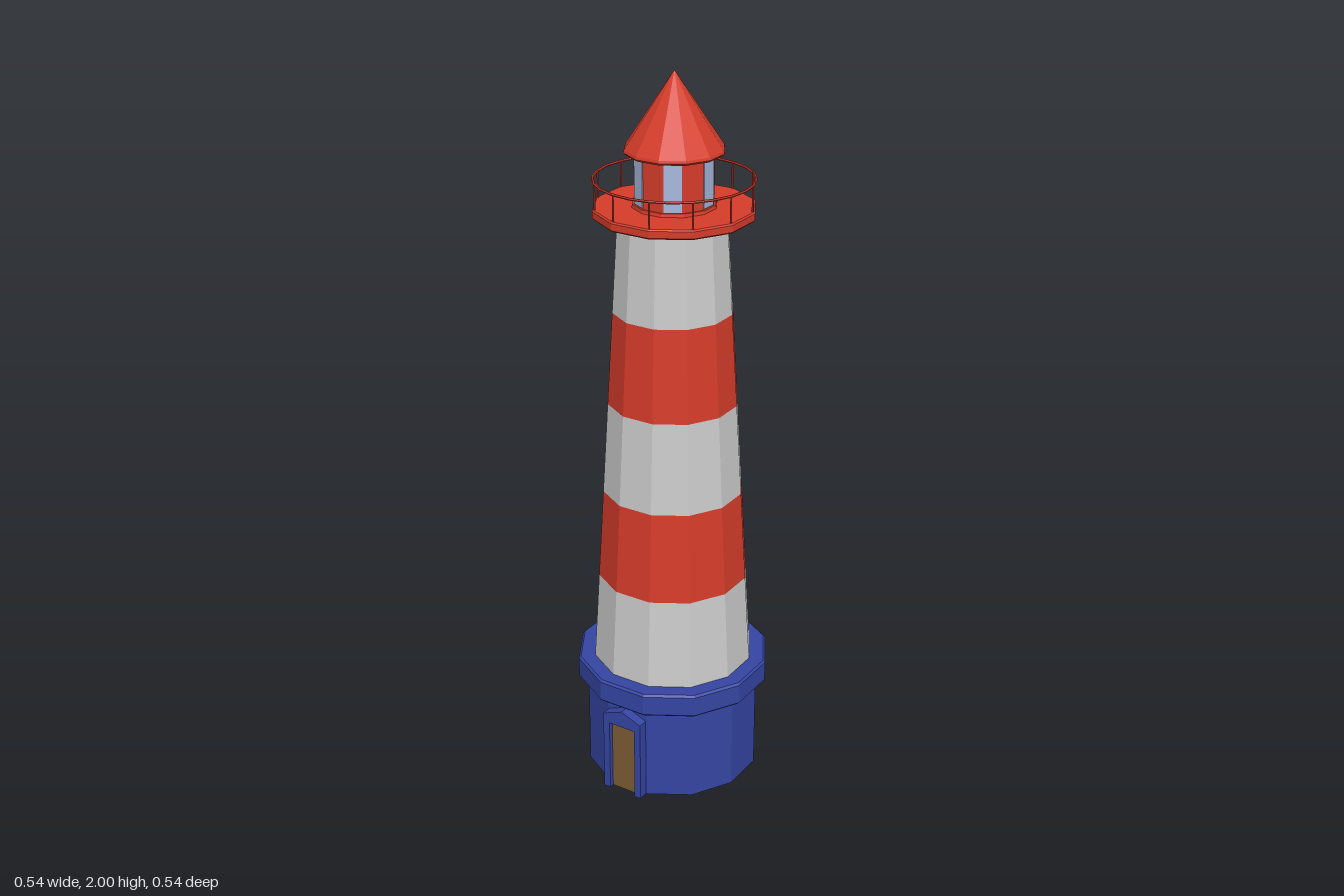
import * as THREE from 'three';

const SIDES = 12;
const material = (color) => new THREE.MeshStandardMaterial({ color, flatShading: true });

export function createModel() {
  const red = material(0xd63c2a), blue = material(0x3545a3), grey = material(0xcccccc);
  const brown = material(0x7a5c35), glass = material(0xa9b9de);

  const model = new THREE.Group();
  model.name = 'lighthouse';
  const add = (parent, name, geometry, mat, x = 0, y = 0, z = 0) => {
    const mesh = new THREE.Mesh(geometry, mat);
    mesh.name = name;
    mesh.position.set(x, y, z);
    parent.add(mesh);
    return mesh;
  };
  // Twelve-sided solid from [radius, height] pairs, bottom to top
  const turned = (profile) =>
    new THREE.LatheGeometry(profile.map(([r, y]) => new THREE.Vector2(r, y)), SIDES);

  // Base and its chamfered collar
  add(model, 'base', turned([[0, 0], [0.245, 0], [0.245, 0.285]]), blue);
  add(model, 'collar', turned([[0.2, 0.276], [0.266, 0.276], [0.272, 0.282],
    [0.272, 0.338], [0.266, 0.344], [0.18, 0.344]]), blue);

  // Tapering tower in five striped bands
  const y0 = 0.343, y1 = 1.63, bands = 5;
  const radiusAt = (t) => THREE.MathUtils.lerp(0.225, 0.146, t);
  for (let i = 0; i < bands; i++) {
    const h = (y1 - y0) / bands;
    const band = new THREE.CylinderGeometry(radiusAt((i + 1) / bands), radiusAt(i / bands), h, SIDES, 1, true);
    add(model, 'towerBand' + (i + 1), band, i % 2 ? red : grey, 0, y0 + h * (i + 0.5), 0);
  }

  // Doorway set on the base facet just left of the front corner
  const doorway = new THREE.Group();
  doorway.name = 'doorway';
  doorway.rotation.y = Math.PI / SIDES;
  model.add(doorway);
  const frame = new THREE.Shape();
  [[-0.061, 0], [-0.041, 0], [-0.041, 0.216], [0.041, 0.216], [0.041, 0],
    [0.061, 0], [0.061, 0.242], [0, 0.266], [-0.061, 0.242]]
    .forEach(([x, y], i) => (i ? frame.lineTo(x, y) : frame.moveTo(x, y)));
  add(doorway, 'doorFrame',
    new THREE.ExtrudeGeometry(frame, { depth: 0.035, bevelEnabled: false }), blue, 0, 0, 0.23);
  add(doorway, 'door', new THREE.BoxGeometry(0.084, 0.217, 0.02), brown, 0, 0.1085, 0.241);

  // Upper works: gallery, lantern and roof
  const top = new THREE.Group();
  top.name = 'lanternHouse';
  top.position.set(-0.003, 0, -0.008);
  model.add(top);

  add(top, 'galleryDeck', turned([[0, 1.626], [0.21, 1.626], [0.214, 1.63],
    [0.214, 1.648], [0.21, 1.652], [0, 1.652]]), red);
  const rail = add(top, 'handrail', new THREE.TorusGeometry(0.209, 0.0035, 6, 24), red, 0, 1.722, 0);
  rail.rotation.x = Math.PI / 2;
  for (let i = 0; i < SIDES; i++) {
    const a = (i / SIDES) * Math.PI * 2;
    add(top, 'railPost', new THREE.CylinderGeometry(0.0025, 0.0025, 0.075, 6), red,
      Math.sin(a) * 0.207, 1.687, Math.cos(a) * 0.207);
  }

  // Lantern room with panes on every second facet
  add(top, 'lanternPlinth', new THREE.CylinderGeometry(0.11, 0.112, 0.01, SIDES), red, 0, 1.656, 0);
  add(top, 'lanternWall', new THREE.CylinderGeometry(0.105, 0.105, 0.15, SIDES), red, 0, 1.722, 0);
  const apothem = 0.105 * Math.cos(Math.PI / SIDES);
  for (let i = 1; i < SIDES; i += 2) {
    const a = ((i + 0.5) / SIDES) * Math.PI * 2;
    const pane = add(top, 'windowPane', new THREE.BoxGeometry(0.046, 0.122, 0.006), glass,
      Math.sin(a) * (apothem - 0.001), 1.724, Math.cos(a) * (apothem - 0.001));
    pane.rotation.y = a;
  }

  // Pointed roof with a short eave
  add(top, 'roof', turned([[0, 1.79], [0.126, 1.79], [0.132, 1.796], [0.13, 1.803], [0, 2]]), red);

  return model;
}
